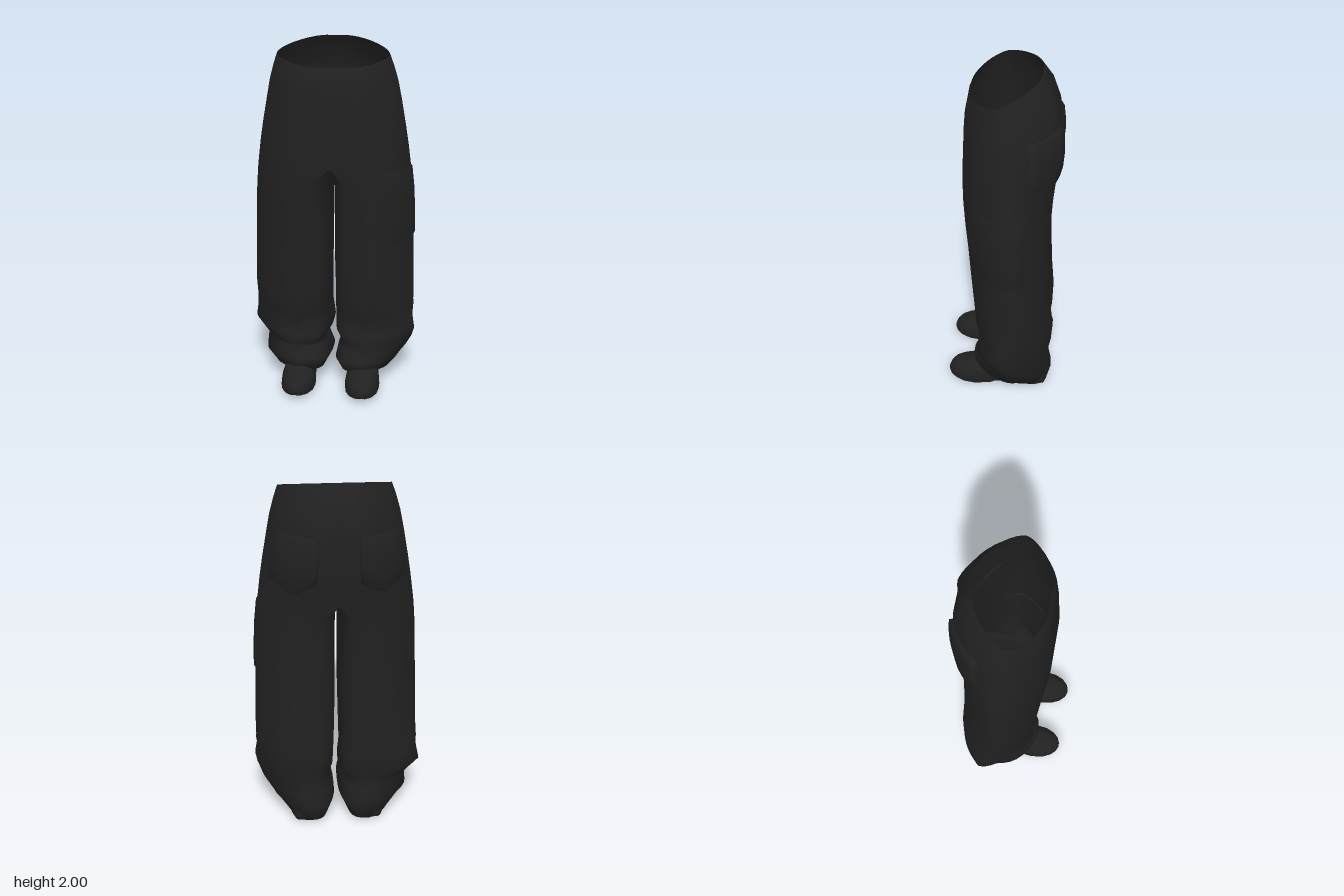
import * as THREE from 'three';
import { mergeVertices, mergeGeometries } from 'three/addons/utils/BufferGeometryUtils.js';

const charcoal = new THREE.MeshStandardMaterial({ color: 0x212121, side: THREE.DoubleSide });
charcoal.name = 'charcoal cloth';

// Section rows: y, outer x, inner x, middle x, front z, back z, z of widest point, tilt of y with z
const hips = [
  [1.945, 0.30, 0, 0.06, 0.175, -0.19, 0.01, -0.29],
  [1.88, 0.322, 0, 0.075, 0.19, -0.245, 0, -0.15],
  [1.80, 0.345, 0, 0.09, 0.2, -0.283, -0.01, 0],
  [1.70, 0.365, 0, 0.1, 0.208, -0.29, -0.02, 0],
  [1.55, 0.392, 0, 0.1, 0.215, -0.29, -0.02, 0],
  [1.45, 0.408, 0, 0.11, 0.22, -0.28, -0.025, 0],
  [1.36, 0.42, 0, 0.12, 0.22, -0.27, -0.03, 0],
];
const thigh = [
  [1.28, 0.43, 0.008, 0.13, 0.218, -0.262, -0.035, 0],
  [1.15, 0.44, 0.01, 0.15, 0.208, -0.255, -0.04, 0],
  [1.00, 0.445, 0.01, 0.16, 0.195, -0.255, -0.045, 0],
  [0.80, 0.453, 0.01, 0.18, 0.18, -0.26, -0.05, 0],
  [0.60, 0.46, 0.014, 0.19, 0.165, -0.27, -0.06, 0],
];
const leftCuff = [
  [0.47, 0.465, 0.016, 0.2, 0.155, -0.28, -0.04, 0],
  [0.42, 0.466, 0.018, 0.2, 0.125, -0.285, -0.03, 0],
  [0.34, 0.468, 0.02, 0.2, 0.14, -0.28, -0.02, 0],
  [0.28, 0.45, 0.05, 0.21, 0.15, -0.267, -0.03, 0],
  [0.22, 0.425, 0.03, 0.2, 0.13, -0.27, -0.04, 0.1],
  [0.15, 0.38, 0.015, 0.19, 0.175, -0.285, -0.05, 0.15],
  [0.08, 0.315, 0.05, 0.18, 0.165, -0.265, -0.06, 0.25],
  [0.10, 0.26, 0.11, 0.185, 0.09, -0.24, -0.06, 0.2],
];
const rightCuff = [
  [0.47, 0.465, 0.016, 0.2, 0.155, -0.28, -0.09, 0],
  [0.42, 0.468, 0.015, 0.2, 0.12, -0.283, -0.11, 0],
  [0.33, 0.472, 0.005, 0.2, 0.145, -0.28, -0.14, 0],
  [0.28, 0.43, 0.05, 0.21, 0.15, -0.267, -0.12, 0],
  [0.24, 0.395, 0.035, 0.2, 0.12, -0.265, -0.09, 0.1],
  [0.17, 0.412, 0.005, 0.19, 0.18, -0.288, -0.07, 0.15],
  [0.08, 0.335, 0.05, 0.18, 0.165, -0.265, -0.06, 0.25],
  [0.10, 0.26, 0.11, 0.185, 0.09, -0.24, -0.06, 0.2],
];
const legRows = { 1: [...hips, ...thigh, ...leftCuff], '-1': [...hips, ...thigh, ...rightCuff] };

// Point on a section: t runs from front (0) to back (PI), arc +1 outside, -1 inner thigh
function sectionPoint([y, xo, xi, xm, zf, zb, zm, tilt], t, arc) {
  const c = Math.cos(t), sin = Math.max(Math.sin(t), 0);
  const outer = c > 0 ? 1.2 : 1.33;
  const inner = xi === 0 ? 0.02 : 0.5; // the crotch row closes flat on the centre plane
  const s = sin < 1e-6 ? 0 : Math.pow(sin, arc > 0 ? outer : inner);
  const k = Math.pow(Math.abs(c), arc > 0 ? outer : 0.7);
  const fold = y < 0.5 ? 0.008 * Math.sin(5 * t + y * 22) * sin : 0;
  const x = xm + (arc > 0 ? (xo - xm) * s + fold : (xi - xm) * s);
  const z = zm + (c > 0 ? zf - zm : zb - zm) * k;
  return [x, y + tilt * z, z];
}

// Skin a rows x columns grid of points
function skin(points, flip) {
  const pos = points.flat(2), idx = [], n = points[0].length;
  for (let i = 0; i < points.length - 1; i++) {
    for (let j = 0; j < n - 1; j++) {
      const a = i * n + j, b = a + 1, c = a + n, d = c + 1;
      if (flip) idx.push(a, b, c, b, d, c);
      else idx.push(a, c, b, b, c, d);
    }
  }
  const geo = new THREE.BufferGeometry();
  geo.setAttribute('position', new THREE.Float32BufferAttribute(pos, 3));
  geo.setIndex(idx);
  return geo;
}

// Both legs and the hips welded into one cloth shell, open at the waist, hems turned in to the shoes
function trousersGeometry() {
  const parts = [], N = 18;
  for (const side of [1, -1]) {
    for (const arc of [1, -1]) {
      const rows = legRows[side].slice(arc > 0 ? 0 : hips.length - 1);
      const points = rows.map((row) => {
        const ring = Array.from({ length: N + 1 }, (_, j) => {
          const [x, y, z] = sectionPoint(row, (Math.PI * j) / N, arc);
          return [x * side, y, z];
        });
        if (arc < 0) return ring;
        // hip rows run on to the centre seam, front and back
        const seam = ([x, y, z]) => [row[2] === 0 ? 0 : x, y, z];
        return [seam(ring[0]), ...ring, seam(ring[N])];
      });
      parts.push(skin(points, side * arc < 0));
    }
  }
  const geo = mergeVertices(mergeGeometries(parts), 1e-4);
  geo.computeVertexNormals();
  return geo;
}

function rowAt(side, y) {
  const rows = legRows[side];
  let i = 0;
  while (i < rows.length - 2 && rows[i + 1][0] > y) i++;
  const f = (rows[i][0] - y) / (rows[i][0] - rows[i + 1][0]);
  return rows[i].map((v, k) => v + (rows[i + 1][k] - v) * f);
}

// Patch pocket that follows the cloth, fuller towards the bottom, with a tucked rim and optional point
function pocketGeometry(side, top, bottom, t0, t1, tip, thick) {
  const us = [0, 0.02, 0.2, 0.35, 0.5, 0.65, 0.8, 0.98, 1], vs = [0, 0.02, 0.3, 0.6, 0.95, 1];
  const points = vs.map((v, i) => us.map((u, j) => {
    const low = bottom - tip * (1 - Math.abs(2 * u - 1));
    const t = t0 + (t1 - t0) * u;
    const row = rowAt(side, top + (low - top) * v);
    const p = sectionPoint(row, t, 1);
    const a = sectionPoint(row, t - 0.05, 1), b = sectionPoint(row, t + 0.05, 1);
    const dx = b[0] - a[0], dz = b[2] - a[2], len = Math.hypot(dx, dz);
    const rim = i === 0 || j === 0 || i === vs.length - 1 || j === us.length - 1;
    const h = rim ? -0.006 : thick * (0.6 + 0.8 * v * (1.3 - v));
    return [(p[0] - (dz / len) * h) * side, p[1], p[2] + (dx / len) * h];
  }));
  const geo = skin(points, side < 0);
  geo.computeVertexNormals();
  return geo;
}

// Shoe lofted heel to toe; sections: z, half width, sole y, top y
const shoeSections = [
  [-0.262, 0.03, 0.02, 0.09], [-0.245, 0.065, 0.004, 0.15], [-0.19, 0.085, 0, 0.18],
  [-0.06, 0.085, 0, 0.19], [-0.04, 0.083, 0.022, 0.19], [0.05, 0.088, 0.018, 0.18],
  [0.07, 0.09, 0.006, 0.172], [0.16, 0.1, 0.005, 0.145], [0.23, 0.092, 0.012, 0.133],
  [0.28, 0.07, 0.022, 0.12], [0.31, 0.042, 0.032, 0.095], [0.323, 0.012, 0.042, 0.07],
];
function shoeGeometry() {
  const N = 16;
  const points = shoeSections.map(([z, w, y0, y1]) => Array.from({ length: N + 1 }, (_, j) => {
    const a = (2 * Math.PI * (j % N)) / N, c = Math.cos(a), s = Math.sin(a);
    const mid = y0 + (y1 - y0) * 0.35;
    const pow = s < 0 ? 0.45 : 0.8;
    const x = w * Math.sign(c) * Math.pow(Math.abs(c), pow);
    const y = mid + (s < 0 ? mid - y0 : y1 - mid) * Math.sign(s) * Math.pow(Math.abs(s), pow);
    return [x, y, z];
  }));
  // close the heel and toe
  const cap = ([z, , y0, y1]) => Array.from({ length: N + 1 }, () => [0, (y0 + y1) / 2, z]);
  const all = [cap(shoeSections[0]), ...points, cap(shoeSections[shoeSections.length - 1])];
  const geo = mergeVertices(skin(all, true), 1e-4);
  geo.computeVertexNormals();
  return geo;
}

export function createModel() {
  const model = new THREE.Group();
  model.name = 'baggyTrousersWithShoes';
  const add = (name, geo) => {
    const mesh = new THREE.Mesh(geo, charcoal);
    mesh.name = name;
    model.add(mesh);
    return mesh;
  };

  add('trousers', trousersGeometry());
  for (const [side, label] of [[1, 'left'], [-1, 'right']]) {
    add(label + 'BackPocket', pocketGeometry(side, 1.74, 1.49, 2.09, 3.08, 0.07, 0.028));
    add(label + 'Shoe', shoeGeometry()).position.x = 0.185 * side;
  }
  add('leftCargoPocket', pocketGeometry(1, 1.33, 0.91, 0.665, 2.1, 0, 0.012));
  return model;
}
